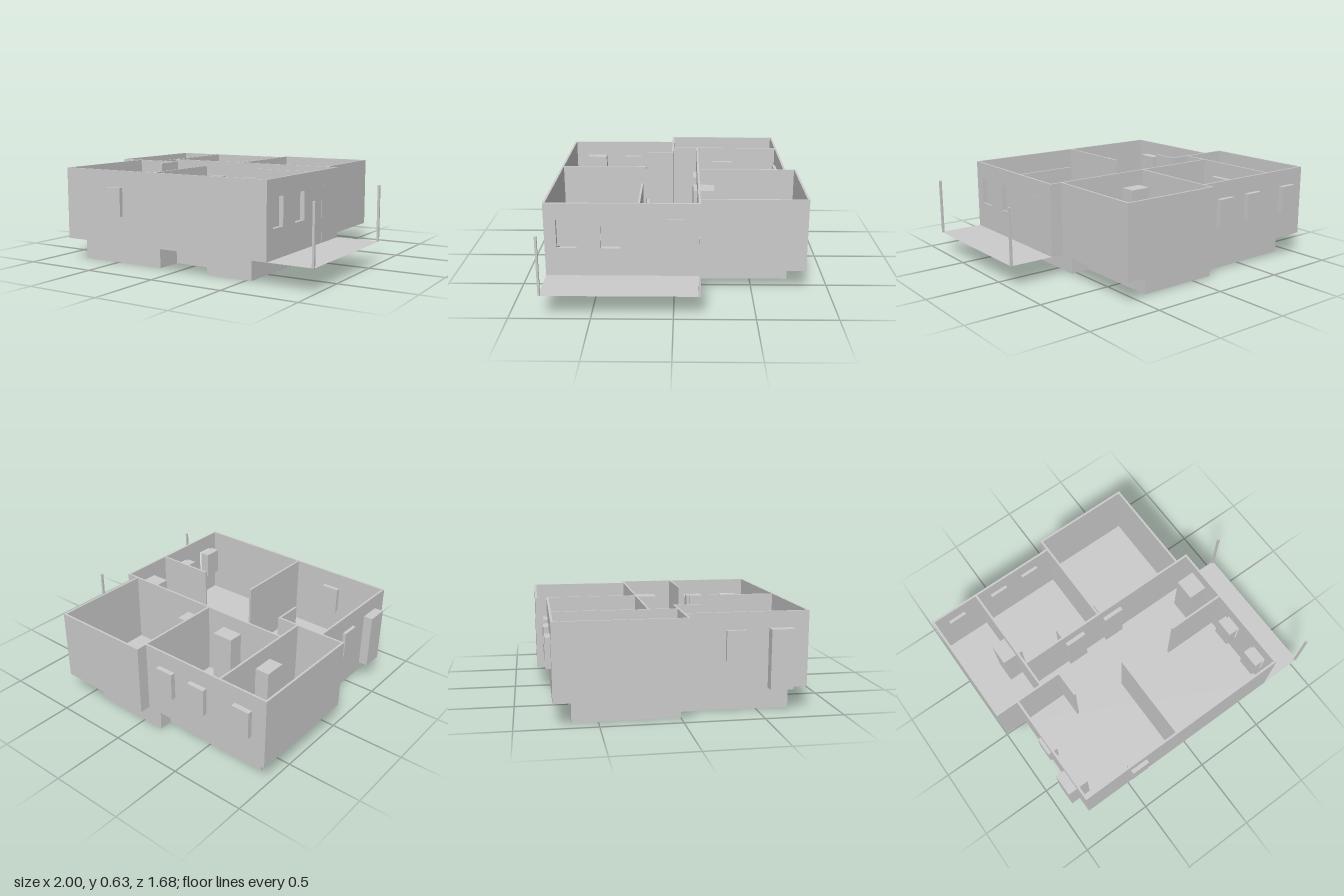
import * as THREE from 'three';

const FLOOR = 0.15, TOP = 0.63, T = 0.014;
const mat = new THREE.MeshStandardMaterial({ color: 0xcccccc, side: THREE.DoubleSide, flatShading: true });

// plan outline given as [x, z] pairs
function planShape(points) {
  return new THREE.Shape(points.map(([x, z]) => new THREE.Vector2(x, -z)));
}

export function createModel() {
  const house = new THREE.Group();
  house.name = 'house';

  const add = (name, geometry) => {
    const mesh = new THREE.Mesh(geometry, mat);
    mesh.name = name;
    house.add(mesh);
    return mesh;
  };
  const box = (name, x0, x1, y0, y1, z0, z1) => add(name,
    new THREE.BoxGeometry(x1 - x0, y1 - y0, z1 - z0)
      .translate((x0 + x1) / 2, (y0 + y1) / 2, (z0 + z1) / 2));

  // stepped foundation
  add('foundation', new THREE.ExtrudeGeometry(planShape([
    [-0.9, -0.66], [-0.15, -0.66], [-0.15, -0.75], [0.4, -0.75], [0.4, -0.155],
    [0.535, -0.155], [0.535, 0.71], [0.215, 0.71], [0.215, 0.53], [-0.15, 0.53],
    [-0.15, 0.71], [-0.78, 0.71], [-0.78, 0], [-0.9, 0],
  ]), { depth: FLOOR - 0.002, bevelEnabled: false }).rotateX(-Math.PI / 2));

  // thin floor under the rooms, and the porch deck
  add('floor', new THREE.ShapeGeometry(planShape([
    [-1, -0.77], [-0.07, -0.77], [-0.07, -0.845], [0.612, -0.845], [0.612, -0.165],
    [0.695, -0.165], [0.695, 0.81], [-0.845, 0.81], [-0.845, 0.035], [-1, 0.035],
  ])).rotateX(-Math.PI / 2).translate(0, FLOOR, 0));
  add('porchDeck', new THREE.ShapeGeometry(planShape([
    [0.695, -0.165], [1, -0.165], [1, 0.81], [0.695, 0.81],
  ])).rotateX(-Math.PI / 2).translate(0, FLOOR, 0));

  // walls running along x: [x0, x1, z of back face]
  const wallsX = [
    [-1, -0.07, -0.77], [-0.07, 0.612, -0.845], [-0.66, 0.695, -0.165],
    [-1, -0.505, 0.021], [-0.845, 0.695, 0.796], [0.28, 0.695, 0.209],
  ];
  for (const [x0, x1, z] of wallsX) box('wall', x0, x1, FLOOR, TOP, z, z + T);

  // walls running along z: [z0, z1, x of right face]
  const wallsZ = [
    [-0.77, 0.035, -1], [-0.77, 0.035, -0.662], [-0.845, -0.155, -0.07],
    [-0.845, -0.155, 0.598], [0.021, 0.81, -0.845], [0.021, 0.21, -0.519],
    [0.21, 0.81, -0.135],
  ];
  for (const [z0, z1, x] of wallsZ) box('wall', x, x + T, FLOOR, TOP, z0, z1);

  // porch wall with two window openings
  const porchWall = new THREE.Shape([
    [-0.165, FLOOR], [0.81, FLOOR], [0.81, TOP], [-0.165, TOP],
  ].map(([z, y]) => new THREE.Vector2(z, y)));
  const W0 = 0.335, W1 = 0.52;
  for (const z of [0.333, 0.61]) {
    porchWall.holes.push(new THREE.Path([
      [z, W0], [z, W1], [z + 0.125, W1], [z + 0.125, W0],
    ].map(([a, b]) => new THREE.Vector2(a, b))));
    box('recessedWindow', 0.6, 0.665, W0, W1, z, z + 0.125);
  }
  add('porchWall', new THREE.ExtrudeGeometry(porchWall, { depth: T, bevelEnabled: false })
    .rotateY(-Math.PI / 2).translate(0.695, 0, 0));

  // projecting windows on the back, front and side
  for (const x of [-0.9, -0.56, -0.305]) box('backWindow', x, x + 0.125, W0, W1, -0.803, -0.735);
  box('frontWindow', -0.497, -0.372, W0, W1, 0.768, 0.837);
  box('sideWindow', -0.868, -0.8, W0, W1, 0.288, 0.412);

  // square door blocks set into the walls
  const doors = [[-0.76, -0.425], [-0.343, -0.27], [-0.028, -0.27], [0.551, -0.062], [-0.908, 0.557]];
  for (const [x, z] of doors) box('door', x, x + 0.146, FLOOR, 0.527, z, z + 0.146);

  // porch posts
  for (const z of [-0.165, 0.796]) box('porchPost', 0.985, 1, FLOOR, 0.527, z, z + T);

  return house;
}
